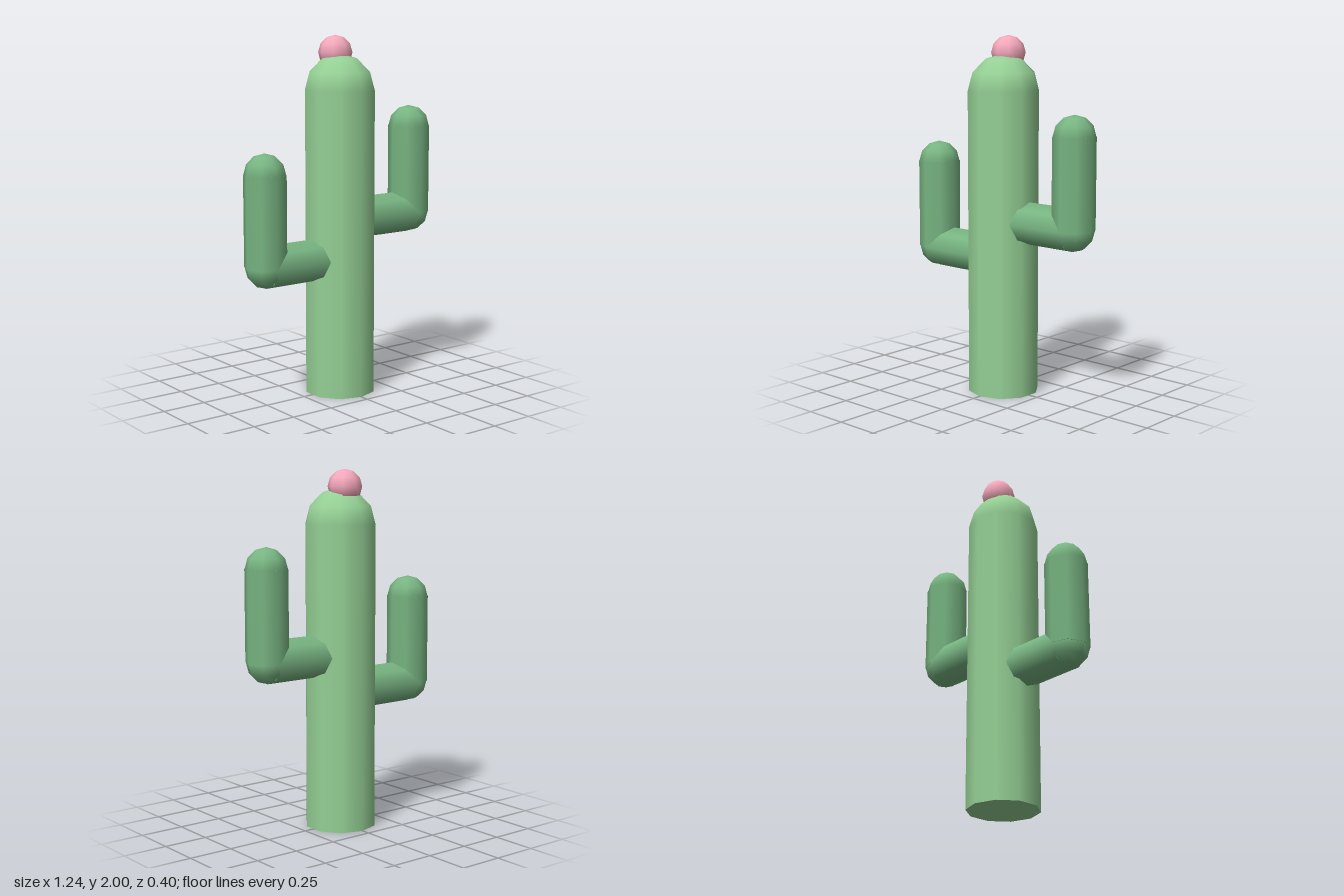
import * as THREE from 'three';

const trunkMat = new THREE.MeshStandardMaterial({ color: 0x95d095 });
const armMat = new THREE.MeshStandardMaterial({ color: 0x78b582 });
const flowerMat = new THREE.MeshStandardMaterial({ color: 0xf4a8bc });

function add(parent, name, geometry, material, x, y, z = 0) {
  const mesh = new THREE.Mesh(geometry, material);
  mesh.name = name;
  mesh.position.set(x, y, z);
  parent.add(mesh);
  return mesh;
}

// Half sphere whose corners line up with a cylinder of the same side count
function dome(radius, sides) {
  return new THREE.SphereGeometry(radius, sides, 3, 0, Math.PI * 2, 0, Math.PI / 2).rotateY(Math.PI / 2);
}

// Arm: a horizontal limb, a rounded elbow, an upright limb and its tip
function makeArm(name, side, y) {
  const arm = new THREE.Group();
  arm.name = name;
  const r = 0.118, reach = 0.5, rise = 0.5;
  const limb = new THREE.CylinderGeometry(r, r, reach, 8);
  add(arm, 'armBranch', limb.clone().rotateZ(-side * Math.PI / 2), armMat, side * reach / 2, y);
  add(arm, 'armElbow', new THREE.SphereGeometry(0.116, 8, 6), armMat, side * reach, y);
  add(arm, 'armUpright', limb, armMat, side * reach, y + rise / 2);
  add(arm, 'armTip', dome(0.116, 8), armMat, side * reach, y + rise);
  return arm;
}

export function createModel() {
  const cactus = new THREE.Group();
  cactus.name = 'cactus';

  // Trunk and rounded top
  add(cactus, 'trunk', new THREE.CylinderGeometry(0.2, 0.2, 1.7, 10), trunkMat, 0, 0.85);
  add(cactus, 'trunkTop', dome(0.2, 10), trunkMat, 0, 1.7);

  // Arms at different heights
  cactus.add(makeArm('leftArm', 1, 0.98), makeArm('rightArm', -1, 0.77));

  // Flower, set slightly to the back
  add(cactus, 'flower', new THREE.SphereGeometry(0.095, 8, 6), flowerMat, 0, 1.905, -0.04);

  return cactus;
}
